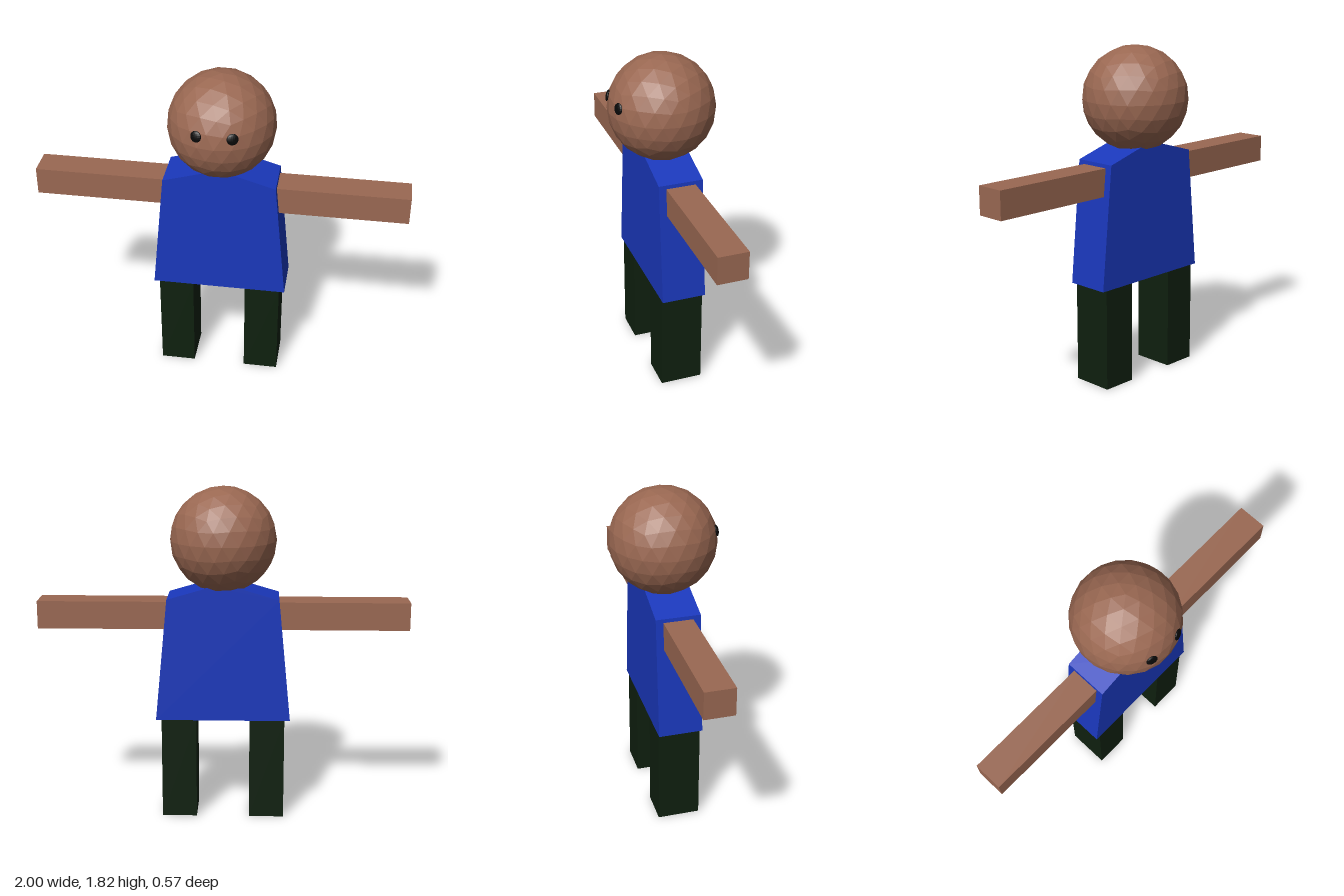
import * as THREE from 'three';

const material = (color) => new THREE.MeshStandardMaterial({ color, flatShading: true });

export function createModel() {
  const model = new THREE.Group();
  const skin = material(0x9a6852);
  const shirt = material(0x1a38bc);
  const trousers = material(0x0f200f);
  const black = material(0x080808);

  function add(name, geometry, mat, x, y, z) {
    const mesh = new THREE.Mesh(geometry, mat);
    mesh.name = name;
    mesh.position.set(x, y, z);
    model.add(mesh);
    return mesh;
  }

  // Torso: tapered outline with sloping shoulders
  const half = [[0.365, 0.56], [0.3, 1.23], [0.06, 1.3]];
  const mirrored = half.map(([x, y]) => [-x, y]).reverse();
  const outline = new THREE.Shape([...half, ...mirrored].map(([x, y]) => new THREE.Vector2(x, y)));
  const torso = new THREE.ExtrudeGeometry(outline, { depth: 0.24, bevelEnabled: false });
  add('torso', torso, shirt, 0, 0, -0.12);

  // Head: faceted ball with one corner pointing straight up
  const headCentre = new THREE.Vector3(0, 1.535, 0);
  const headGeometry = new THREE.IcosahedronGeometry(0.285, 3);
  headGeometry.rotateZ(-Math.atan(2 / (1 + Math.sqrt(5))));
  add('head', headGeometry, skin, 0, headCentre.y, 0);

  for (const [side, s] of [['left', 1], ['right', -1]]) {
    add(side + 'Arm', new THREE.BoxGeometry(0.75, 0.15, 0.16), skin, s * 0.625, 1.135, 0);
    add(side + 'Leg', new THREE.BoxGeometry(0.19, 0.56, 0.23), trousers, s * 0.24, 0.28, 0);

    // Eye: flattened ball lying on the head's surface
    const eye = add(side + 'Eye', new THREE.SphereGeometry(0.03, 16, 10), black, s * 0.092, 1.595, 0.262);
    const outward = eye.position.clone().sub(headCentre).normalize();
    eye.quaternion.setFromUnitVectors(new THREE.Vector3(0, 0, 1), outward);
    eye.scale.z = 0.35;
  }

  return model;
}
